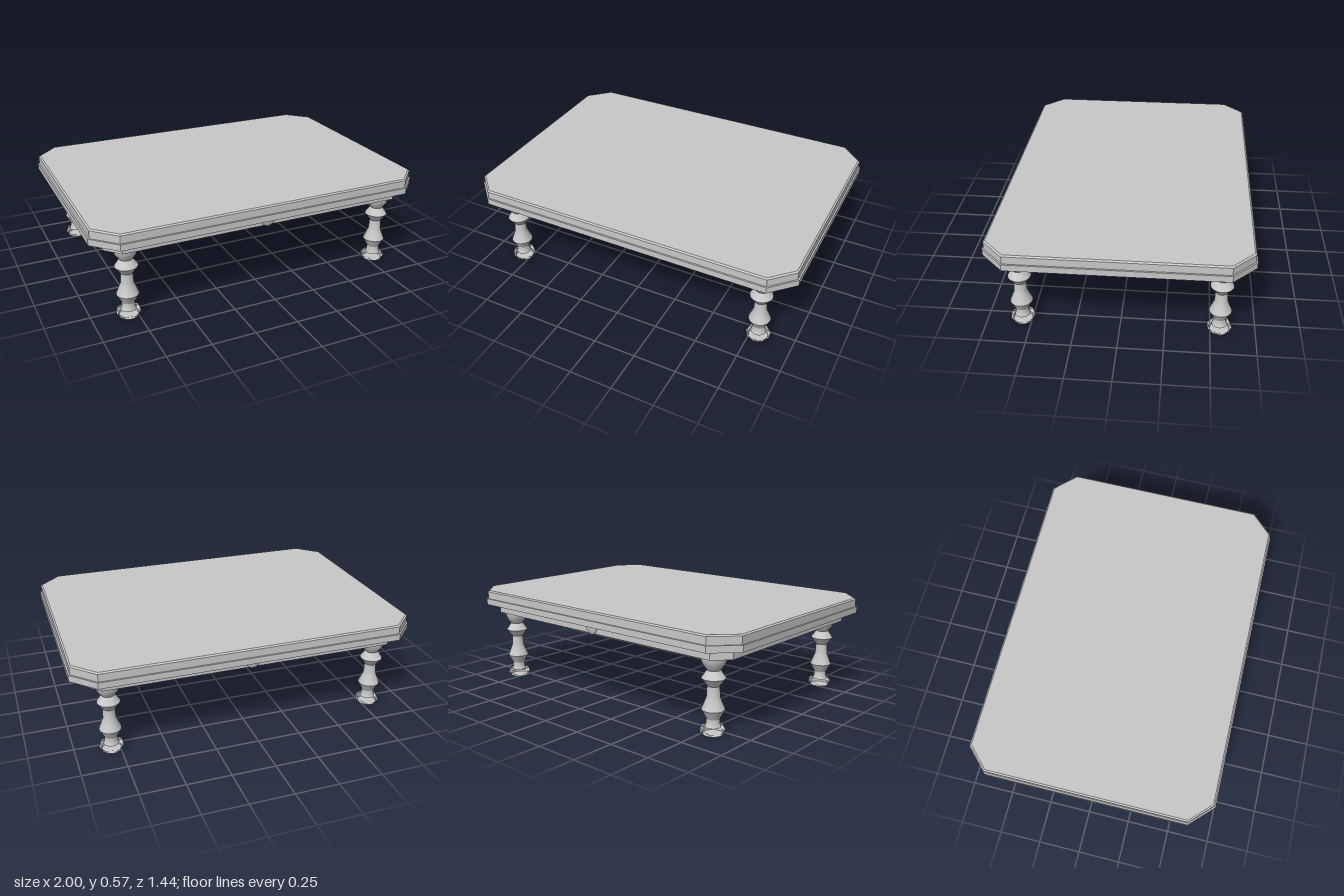
import * as THREE from 'three';
import { toCreasedNormals } from 'three/addons/utils/BufferGeometryUtils.js';

const grey = new THREE.MeshStandardMaterial({ color: 0xc8c8c8 });
grey.name = 'grey';

function part(name, geometry) {
  const mesh = new THREE.Mesh(geometry, grey);
  mesh.name = name;
  return mesh;
}

// Closed, flat-shaded solid through rings of points, ordered bottom to top
function loft(rings) {
  const n = rings[0].length;
  const index = [];
  for (let r = 0; r < rings.length - 1; r++) {
    for (let i = 0; i < n; i++) {
      const a = r * n + i, b = r * n + (i + 1) % n;
      index.push(a, a + n, b, b, a + n, b + n);
    }
  }
  const top = (rings.length - 1) * n;
  for (let i = 1; i < n - 1; i++) {
    index.push(0, i, i + 1, top, top + i + 1, top + i);
  }
  const g = new THREE.BufferGeometry();
  g.setAttribute('position', new THREE.Float32BufferAttribute(rings.flat(2), 3));
  g.setIndex(index);
  const flat = g.toNonIndexed();
  flat.computeVertexNormals();
  return flat;
}

// Rectangle outline with cut corners: half sizes hx, hz; corner points at cx, cz
const outline = (y, hx, hz, cx, cz) => [
  [hx, y, -cz], [hx, y, cz], [cx, y, hz], [-cx, y, hz],
  [-hx, y, cz], [-hx, y, -cz], [-cx, y, -hz], [cx, y, -hz],
];

// Turned leg: bowl, upper ring, waisted shaft, lower ring, ankle
const legProfile = [
  [0, 0.425], [0.07, 0.425], [0.067, 0.4], [0.058, 0.375], [0.036, 0.346],
  [0.065, 0.304], [0.034, 0.262], [0.037, 0.2], [0.063, 0.135],
  [0.036, 0.085], [0.037, 0.06], [0.044, 0.04],
].reverse().map(([r, y]) => new THREE.Vector2(r, y));

// Faceted foot ring: corners zigzag up and down around its rim
function footGeometry() {
  const n = 12;
  const ring = (radius, y, wave = 0) => Array.from({ length: n }, (_, i) => {
    const a = -(i / n) * Math.PI * 2 + 0.2;
    const s = i % 2 ? 1 : -1;
    return [Math.cos(a) * (radius + s * wave * 0.2), y + s * wave, Math.sin(a) * (radius + s * wave * 0.2)];
  });
  return loft([
    ring(0.055, 0), ring(0.056, 0.012), ring(0.069, 0.022, 0.009),
    ring(0.062, 0.041, 0.004), ring(0.04, 0.05),
  ]);
}

export function createModel() {
  const table = new THREE.Group();
  table.name = 'table';

  // Table top: wide lower board, slightly smaller upper board with a bevelled rim
  table.add(part('lowerBoard', loft([
    outline(0.48, 1, 0.718, 0.87, 0.588), outline(0.517, 1, 0.718, 0.87, 0.588),
  ])));
  table.add(part('upperBoard', loft([
    outline(0.516, 0.991, 0.709, 0.867, 0.585),
    outline(0.561, 0.991, 0.709, 0.867, 0.585),
    outline(0.568, 0.982, 0.7, 0.863, 0.581),
  ])));

  // Apron below the top
  table.add(part('apron', loft([
    outline(0.422, 0.921, 0.643, 0.84, 0.558), outline(0.481, 0.921, 0.643, 0.84, 0.558),
  ])));

  // Rounded ornament in the middle of the front and back aprons
  for (const side of [1, -1]) {
    const drop = part('apronOrnament',
      new THREE.SphereGeometry(1, 20, 8, 0, Math.PI * 2, Math.PI / 2, Math.PI / 2));
    drop.scale.set(0.05, 0.067, 0.018);
    drop.position.set(0, 0.481, side * 0.641);
    table.add(drop);
  }

  // Four legs
  const shaft = toCreasedNormals(new THREE.LatheGeometry(legProfile, 16), 0.48);
  const foot = footGeometry();
  for (const x of [-0.797, 0.797]) {
    for (const z of [-0.551, 0.551]) {
      const leg = new THREE.Group();
      leg.name = 'leg';
      leg.add(part('turnedShaft', shaft), part('foot', foot));
      leg.position.set(x, 0, z);
      table.add(leg);
    }
  }
  return table;
}
